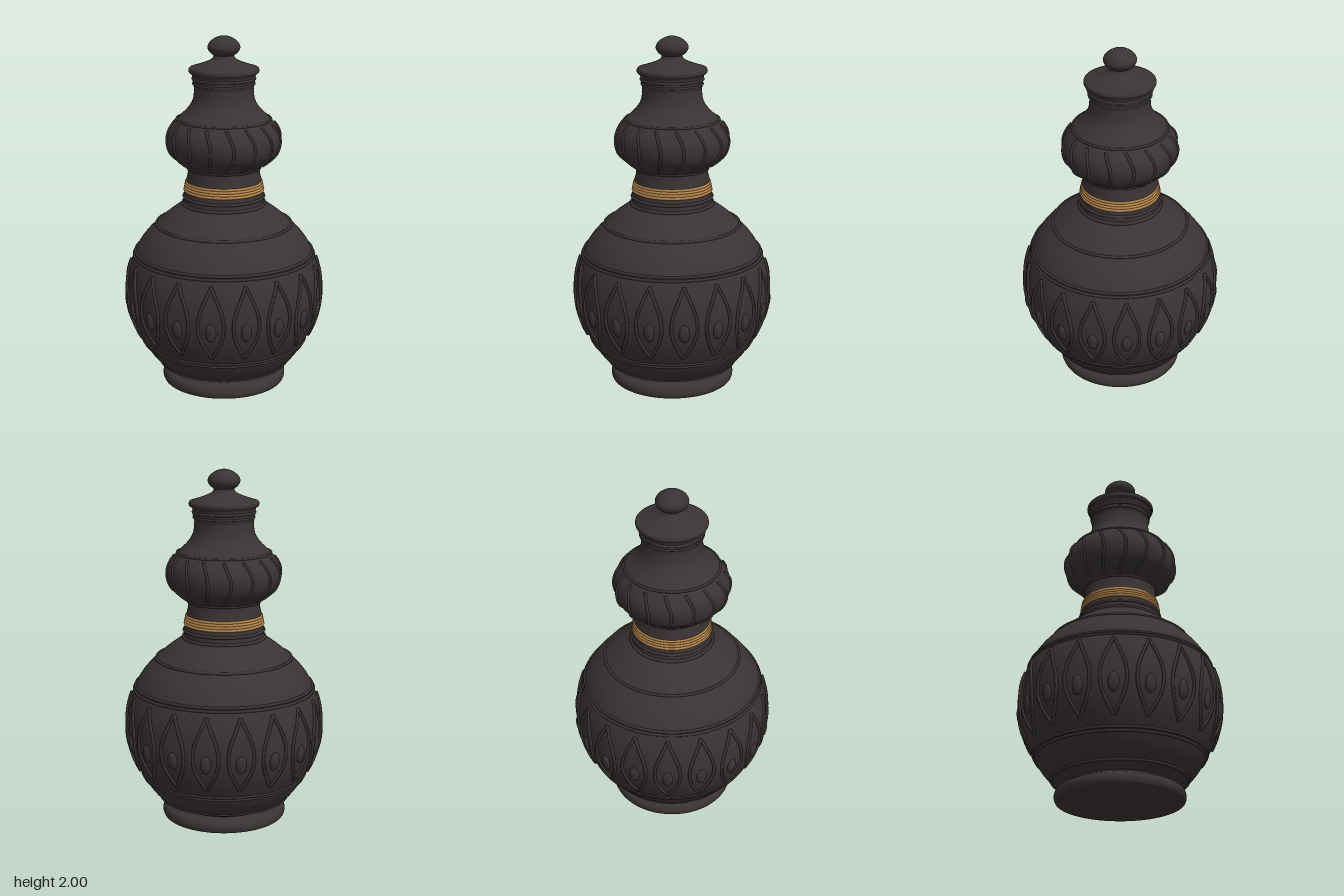
import * as THREE from 'three';

const clay = new THREE.MeshStandardMaterial({ color: 0x3a3333 });
clay.name = 'dark clay';
const gold = new THREE.MeshStandardMaterial({ color: 0xb5854a });
gold.name = 'gold';

// Smooth [radius, height] profiles, from bottom to top
const smooth = (pairs, n) => new THREE.SplineCurve(pairs.map(([r, y]) => new THREE.Vector2(r, y))).getPoints(n);
const bodyProfile = smooth([[0.30, 0.085], [0.37, 0.125], [0.425, 0.185], [0.467, 0.255], [0.52, 0.36], [0.548, 0.46],
  [0.555, 0.55], [0.545, 0.66], [0.51, 0.77], [0.458, 0.86], [0.383, 0.94], [0.30, 1.01], [0.228, 1.06]], 72);
const bulbProfile = smooth([[0.203, 1.265], [0.225, 1.285], [0.265, 1.315], [0.302, 1.355], [0.319, 1.42],
  [0.306, 1.48], [0.262, 1.54], [0.205, 1.595], [0.172, 1.65], [0.164, 1.72]], 56);

// Radius of a profile at a height
function radiusAt(profile, y) {
  const i = Math.max(1, profile.findIndex((p) => p.y >= y));
  const a = profile[i - 1], b = profile[i];
  return a.x + (b.x - a.x) * (y - a.y) / (b.y - a.y);
}

function add(parent, name, geometry, material = clay) {
  const mesh = new THREE.Mesh(geometry, material);
  mesh.name = name;
  parent.add(mesh);
  return mesh;
}

function ring(parent, name, radius, y, tube, material = clay) {
  const mesh = add(parent, name, new THREE.TorusGeometry(radius, tube, 8, 96), material);
  mesh.rotation.x = Math.PI / 2;
  mesh.position.y = y;
}

// Raised line lying on a profile; angleAt(t) gives its angle from the front
function surfaceLine(profile, y0, y1, angleAt, tube, lift) {
  const points = [];
  for (let i = 0; i <= 14; i++) {
    const t = i / 14, y = y0 + (y1 - y0) * t, a = angleAt(t);
    const r = radiusAt(profile, y) + lift;
    points.push(new THREE.Vector3(r * Math.sin(a), y, r * Math.cos(a)));
  }
  return new THREE.TubeGeometry(new THREE.CatmullRomCurve3(points), 28, tube, 6);
}

export function createModel() {
  const model = new THREE.Group();
  model.name = 'gourdVase';
  const lathe = (name, points) =>
    add(model, name, new THREE.LatheGeometry(points.map((p) => (p.isVector2 ? p : new THREE.Vector2(...p))), 96));

  // Foot, body, waist and upper bulb
  lathe('footBase', [[0, 0.004], [0.335, 0.004]]);
  lathe('foot', smooth([[0.33, 0.003], [0.348, 0.008], [0.355, 0.035], [0.345, 0.062], [0.32, 0.077], [0.298, 0.095]], 30));
  lathe('body', bodyProfile);
  lathe('waist', [[0.229, 1.05], [0.226, 1.1], [0.219, 1.135], [0.212, 1.19], [0.203, 1.23], [0.203, 1.27]]);
  lathe('bulb', bulbProfile);

  // Collar, lid and knob
  lathe('collar', smooth([[0.163, 1.71], [0.17, 1.735], [0.171, 1.755], [0.176, 1.785], [0.187, 1.8]], 20));
  lathe('lidRim', [[0.15, 1.795], [0.189, 1.797]]);
  lathe('lidEdge', smooth([[0.187, 1.795], [0.194, 1.803], [0.194, 1.818], [0.188, 1.826]], 12));
  lathe('lid', smooth([[0.188, 1.826], [0.14, 1.841], [0.09, 1.86], [0.062, 1.878], [0.055, 1.9]], 24));
  lathe('knob', smooth([[0.053, 1.892], [0.076, 1.908], [0.09, 1.935], [0.08, 1.963], [0.05, 1.987], [0.02, 1.998], [0, 2]], 30));

  // Raised rings around the vessel
  for (const y of [0.125, 0.247, 0.265, 0.765, 0.783, 0.94]) {
    ring(model, 'bodyRing', radiusAt(bodyProfile, y), y, 0.008);
  }
  ring(model, 'shoulderRing', 0.23, 1.06, 0.01);
  ring(model, 'waistRing', 0.225, 1.1, 0.009);
  ring(model, 'bulbFootRing', 0.205, 1.268, 0.008);
  ring(model, 'bulbRing', radiusAt(bulbProfile, 1.54), 1.54, 0.007);
  ring(model, 'collarRing', 0.17, 1.765, 0.009);
  ring(model, 'collarLowerRing', 0.168, 1.738, 0.007);

  // Gold bands at the waist
  for (let i = 0; i < 4; i++) {
    ring(model, 'goldBand', 0.22 - 0.003 * i, 1.138 + 0.0145 * i, 0.008, gold);
  }

  // Curved ribs around the bulb
  const rib = surfaceLine(bulbProfile, 1.285, 1.525, (t) => 0.125 * Math.sin(Math.PI * t), 0.008, 0.002);
  for (let i = 0; i < 16; i++) {
    add(model, 'bulbRib', rib).rotation.y = i * Math.PI / 8;
  }

  // Pointed petals with a raised drop in each
  const side = (s) => surfaceLine(bodyProfile, 0.315, 0.735,
    (t) => s * 0.128 * Math.pow(Math.sin(Math.PI * Math.pow(t, 0.9)), 1.1), 0.009, 0.004);
  const sides = [side(-1), side(1)];
  const drop = new THREE.SphereGeometry(1, 16, 12);
  for (let i = 0; i < 18; i++) {
    const petal = new THREE.Group();
    petal.name = 'petal';
    petal.rotation.y = (10 + 20 * i) * Math.PI / 180;
    sides.forEach((geometry) => add(petal, 'petalEdge', geometry));
    const bead = add(petal, 'petalDrop', drop);
    bead.scale.set(0.029, 0.053, 0.016);
    bead.position.set(0, 0.477, radiusAt(bodyProfile, 0.477));
    bead.rotation.x = 0.12;
    model.add(petal);
  }
  return model;
}
